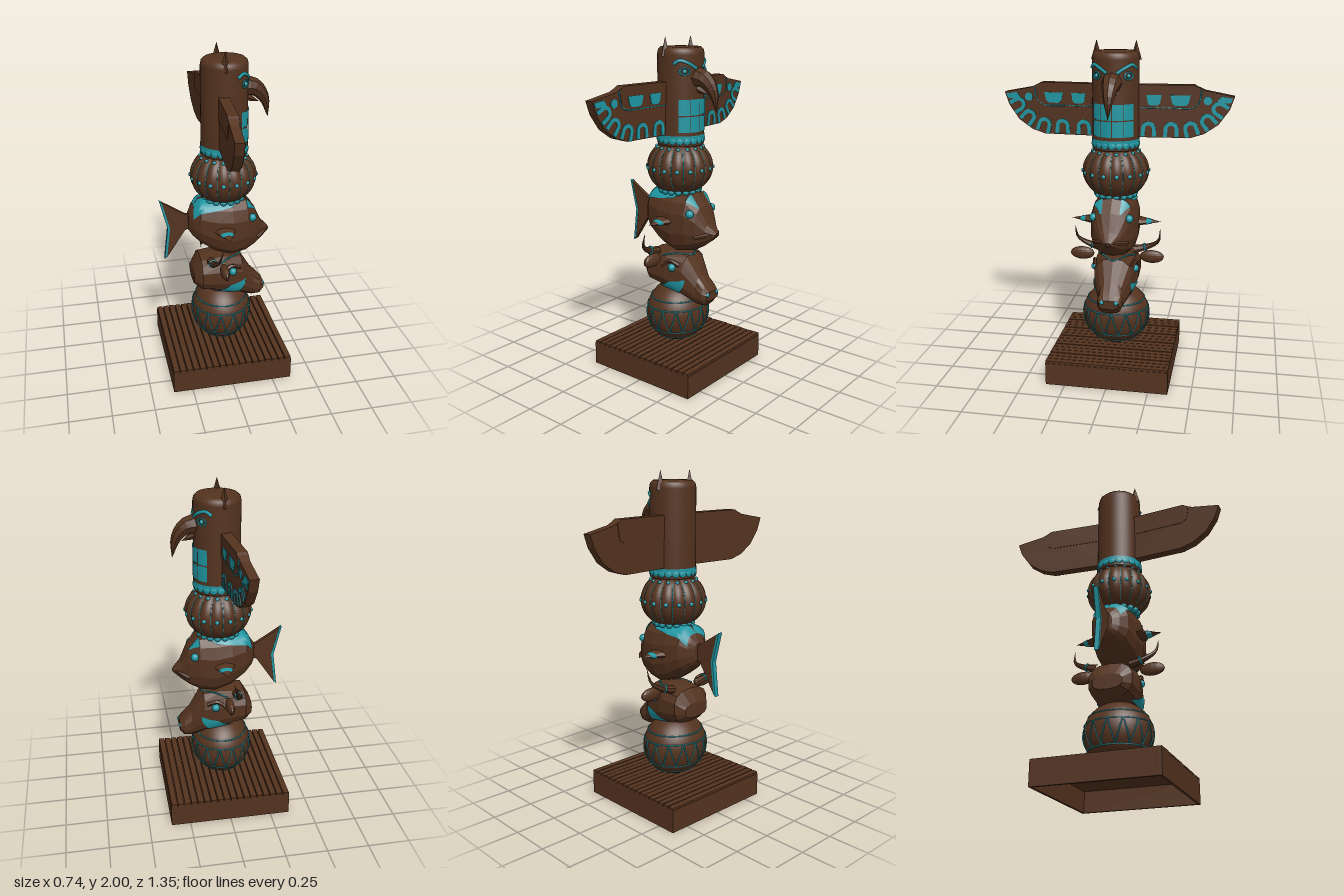
import * as THREE from 'three';
import { ParametricGeometry } from 'three/addons/geometries/ParametricGeometry.js';

const V = (x, y, z) => new THREE.Vector3(x, y, z);
const wood = new THREE.MeshStandardMaterial({ color: 0x54331f });
const carved = new THREE.MeshStandardMaterial({ color: 0x54331f, flatShading: true });
const paint = new THREE.MeshStandardMaterial({ color: 0x1f97a3, side: THREE.DoubleSide });

function add(parent, name, geo, mat, pos = [0, 0, 0], rot = [0, 0, 0], scale = [1, 1, 1]) {
  const m = new THREE.Mesh(geo, mat);
  m.name = name;
  m.position.set(...pos);
  m.rotation.set(...rot);
  m.scale.set(...scale);
  parent.add(m);
  return m;
}

// Runs a builder for the +z side and its mirror image
function bothSides(parent, name, build) {
  for (const s of [1, -1]) {
    const g = new THREE.Group();
    g.name = name;
    g.scale.z = s;
    build(g);
    parent.add(g);
  }
}

// Point on a body made of [x, bottom, top, halfWidth] sections; a = 0 is the top, a = PI/2 the side
function bodyPoint(sections, s, a, off, out) {
  const i = Math.min(Math.floor(s), sections.length - 2), f = s - i;
  const [x, y0, y1, w] = sections[i].map((v, k) => v + (sections[i + 1][k] - v) * f);
  const pw = (v) => Math.sign(v) * Math.abs(v) ** 0.75;
  return out.set(x, (y0 + y1) / 2 + pw(Math.cos(a)) * ((y1 - y0) / 2 + off), pw(Math.sin(a)) * (w + off));
}
const body = (sections, sides) => new ParametricGeometry(
  (u, v, t) => bodyPoint(sections, v * (sections.length - 1), u * Math.PI * 2, 0, t), sides, sections.length - 1);

// Painted patch lying on a body, from four [s, a] corners
const patch = (sections, c) => new ParametricGeometry((u, v, t) => {
  const mix = (k) => (c[0][k] * (1 - u) + c[1][k] * u) * (1 - v) + (c[3][k] * (1 - u) + c[2][k] * u) * v;
  bodyPoint(sections, mix(0), mix(1), 0.005, t);
}, 10, 10);

const tube = (pts, r, seg = 16, sides = 5, closed = false) =>
  new THREE.TubeGeometry(new THREE.CatmullRomCurve3(pts, closed), seg, r, sides, closed);

// Tube that narrows to a point
function taper(pts, r, sides, power = 1) {
  const seg = 10, curve = new THREE.CatmullRomCurve3(pts);
  const geo = new THREE.TubeGeometry(curve, seg, r, sides);
  const p = geo.attributes.position, q = V(0, 0, 0);
  for (let i = 0; i < p.count; i++) {
    const t = Math.floor(i / (sides + 1)) / seg;
    q.fromBufferAttribute(p, i).lerp(curve.getPointAt(t), t ** power);
    p.setXYZ(i, q.x, q.y, q.z);
  }
  geo.computeVertexNormals();
  return geo;
}

const poly = (pts) => new THREE.Shape(pts.map(([x, y]) => new THREE.Vector2(x, y)));
const slab = (shape, depth) => new THREE.ExtrudeGeometry(shape, { depth, bevelEnabled: false, curveSegments: 10 });
const ball = (r) => new THREE.SphereGeometry(r, 14, 10);

// Hollow plinth with a plank top
function plinth(g) {
  for (const s of [1, -1]) {
    add(g, 'plinthWall', new THREE.BoxGeometry(0.73, 0.138, 0.015), wood, [0, 0.069, s * 0.3575]);
    add(g, 'plinthWall', new THREE.BoxGeometry(0.015, 0.138, 0.7), wood, [s * 0.3575, 0.069, 0]);
  }
  add(g, 'plinthDeck', new THREE.BoxGeometry(0.72, 0.01, 0.72), wood, [0, 0.133, 0]);
  const n = 18, w = 0.73 / n;
  for (let i = 0; i < n; i++)
    add(g, 'plank', new THREE.BoxGeometry(w - 0.006, 0.014, 0.73), wood, [-0.365 + w * (i + 0.5), 0.143 + (i % 3) * 0.001, 0]);
}

// Painted ball with rings and a zigzag
function paintedBall(g) {
  const [rx, ry, rz, cy] = [0.183, 0.192, 0.204, 0.345];
  add(g, 'lowerBall', new THREE.SphereGeometry(1, 40, 28), wood, [0, cy, 0], [0, 0, 0], [rx, ry, rz]);
  const on = (y, t) => {
    const k = Math.sqrt(1 - ((y - cy) / ry) ** 2);
    return V(rx * k * Math.cos(t), y, rz * k * Math.sin(t));
  };
  for (const y of [0.445, 0.395, 0.25, 0.2])
    add(g, 'ballRing', tube(Array.from({ length: 32 }, (_, i) => on(y, i * Math.PI / 16)), 0.004, 64, 5, true), paint);
  const steps = 14 * 8;
  const zig = Array.from({ length: steps }, (_, i) =>
    on(0.252 + 0.142 * Math.abs((i % 8) / 4 - 1), i / steps * Math.PI * 2));
  add(g, 'ballZigzag', tube(zig, 0.004, 336, 4, true), paint);
}

// Horned head
function bull(g) {
  const S = [[-0.18, 0.6, 0.6, 0], [-0.18, 0.56, 0.65, 0.09], [-0.135, 0.52, 0.73, 0.135], [0, 0.49, 0.75, 0.14],
    [0.115, 0.455, 0.73, 0.115], [0.19, 0.425, 0.605, 0.075], [0.235, 0.43, 0.555, 0.075], [0.262, 0.465, 0.52, 0.06], [0.262, 0.49, 0.49, 0]];
  add(g, 'bullHead', body(S, 14), carved);
  const brow = [[2.8, 0.85], [3.4, 0.5], [4.1, 0], [3.4, -0.5], [2.8, -0.85]];
  add(g, 'foreheadLine', tube(brow.map(([s, a]) => bodyPoint(S, s, a, 0.004, V(0, 0, 0))), 0.005), paint);
  bothSides(g, 'bullSide', (h) => {
    add(h, 'horn', taper([V(-0.08, 0.73, 0.1), V(-0.08, 0.755, 0.19), V(-0.06, 0.8, 0.25), V(-0.035, 0.885, 0.262)], 0.027, 7), carved);
    add(h, 'hornBand', new THREE.TorusGeometry(0.021, 0.006, 5, 10), paint, [-0.081, 0.748, 0.165], [-0.3, 0, 0]);
    add(h, 'bullEar', ball(1), carved, [-0.02, 0.71, 0.215], [0, 0, 0], [0.025, 0.04, 0.075]);
    add(h, 'bullEye', ball(0.024), paint, [0.05, 0.655, 0.122]);
    add(h, 'bullBrow', tube([V(-0.01, 0.66, 0.136), V(0.04, 0.695, 0.126), V(0.1, 0.675, 0.113)], 0.012), carved);
    add(h, 'cheekPatch', patch(S, [[2.4, 2.5], [3.3, 1.8], [4.3, 1.5], [3.8, 2.25]]), paint);
    add(h, 'nostril', ball(0.014), paint, [0.256, 0.505, 0.042]);
  });
}

// Fish with a forked tail
function fish(g) {
  const S = [[-0.2, 0.96, 0.96, 0], [-0.2, 0.91, 1.02, 0.035], [-0.18, 0.88, 1.05, 0.075], [-0.14, 0.84, 1.105, 0.115],
    [-0.05, 0.775, 1.115, 0.14], [0.05, 0.74, 1.115, 0.145], [0.14, 0.757, 1.11, 0.13], [0.2, 0.79, 1.035, 0.1],
    [0.245, 0.825, 0.935, 0.06], [0.292, 0.865, 0.885, 0.02], [0.292, 0.875, 0.875, 0]];
  add(g, 'fishBody', body(S, 14), carved);
  add(g, 'tailFin', slab(poly([[-0.17, 1.0], [-0.22, 1.015], [-0.36, 1.105], [-0.313, 0.93], [-0.336, 0.735], [-0.22, 0.91], [-0.17, 0.93]]), 0.024), carved, [0, 0, -0.012]);
  add(g, 'tailEdge', slab(poly([[-0.355, 1.1], [-0.37, 1.112], [-0.325, 0.93], [-0.348, 0.728], [-0.333, 0.745], [-0.31, 0.93]]), 0.028), paint, [0, 0, -0.014]);
  bothSides(g, 'fishSide', (h) => {
    add(h, 'backPatch', patch(S, [[2.3, 0], [5.9, 0.1], [5, 0.75], [2, 1.2]]), paint);
    add(h, 'browPatch', patch(S, [[6, 0.3], [6, 0.85], [7, 0.5], [7, 0.4]]), paint);
    add(h, 'fishEye', ball(0.024), paint, [0.17, 1.0, 0.105]);
    add(h, 'sideFin', new THREE.ConeGeometry(0.08, 0.17, 8), carved, [0, 0.94, 0.185], [Math.PI / 2, 0, 0], [1, 1, 0.4]);
    add(h, 'finBand', new THREE.CylinderGeometry(0.029, 0.043, 0.03, 8, 1, true), paint, [0.0, 0.94, 0.2], [Math.PI / 2, 0, 0], [1, 1, 0.42]);
    add(h, 'lip', tube([V(0.288, 0.875, 0), V(0.25, 0.875, 0.056), V(0.2, 0.86, 0.1)], 0.012), carved);
  });
}

// Ribbed ball with grooves and painted dots
function ribbedBall(g) {
  const ribs = 16, cx = 0.015, cy = 1.25, R = 0.196, H = 0.168;
  const geo = new THREE.SphereGeometry(1, 128, 24), p = geo.attributes.position;
  for (let i = 0; i < p.count; i++) {
    const k = 0.94 + 0.06 * Math.abs(Math.sin(Math.atan2(p.getZ(i), p.getX(i)) * ribs / 2));
    p.setXYZ(i, p.getX(i) * k * R, p.getY(i) * H, p.getZ(i) * k * R);
  }
  geo.computeVertexNormals();
  add(g, 'ribbedBall', geo, wood, [cx, cy, 0]);
  const on = (lat, t, k) => V(cx + R * k * Math.cos(lat) * Math.cos(t), cy + H * Math.sin(lat), R * k * Math.cos(lat) * Math.sin(t));
  for (let i = 0; i < ribs; i++) {
    const t = i / ribs * Math.PI * 2, mid = t + Math.PI / ribs;
    add(g, 'groove', tube([-1.1, -0.55, 0, 0.55, 1.1].map((l) => on(l, t, 0.94)), 0.003, 16, 4), paint);
    for (const [lat, r] of [[0, 0.013], [0.78, 0.011], [-0.95, 0.02]])
      add(g, 'dot', ball(r), paint, on(lat, mid, 0.975).toArray());
  }
}

// Bird pillar: face, ears, beak, chest panels
function bird(g) {
  const cx = 0.02, R = 0.135;
  const prof = [[0, 1.385], [0.13, 1.385], [R, 1.39], [R, 1.9], [0.13, 1.925], [0.115, 1.94], [0, 1.945]];
  add(g, 'pillar', new THREE.LatheGeometry(prof.map(([x, y]) => new THREE.Vector2(x, y)), 40), wood, [cx, 0, 0]);
  const on = (t, y, r = R) => V(cx + r * Math.cos(t), y, r * Math.sin(t));
  add(g, 'collar', new THREE.CylinderGeometry(R + 0.003, R + 0.003, 0.03, 40, 1, true), paint, [cx, 1.432, 0]);
  for (let i = 0; i < 20; i++) {
    const t = i * Math.PI / 10;
    add(g, 'scallop', ball(1), paint, on(t, 1.415).toArray(), [0, -t, 0], [0.006, 0.018, 0.021]);
  }
  for (let c = 0; c < 4; c++) for (let r = 0; r < 2; r++)
    add(g, 'chestPanel', new THREE.CylinderGeometry(R + 0.004, R + 0.004, 0.09, 6, 1, true, Math.PI / 2 + (c - 2) * 0.5 + 0.015, 0.47), paint, [cx, 1.512 + r * 0.097, 0]);
  add(g, 'beak', taper([V(0.1, 1.775, 0), V(0.19, 1.765, 0), V(0.25, 1.7, 0), V(0.276, 1.583, 0)], 0.064, 8, 1.3), carved);
  add(g, 'lowerBeak', new THREE.ConeGeometry(0.035, 0.1, 6), carved, [0.175, 1.7, 0], [0, 0, -2.0]);
  bothSides(g, 'birdSide', (h) => {
    add(h, 'birdEar', new THREE.ConeGeometry(0.032, 0.11, 4), carved, [0, 1.945, 0.114]);
    const t = 0.74, e = on(t, 1.81).toArray();
    add(h, 'eyeRing', new THREE.TorusGeometry(0.026, 0.005, 6, 18), paint, e, [0, Math.PI / 2 - t, 0], [1.1, 0.8, 1]);
    add(h, 'birdEye', ball(0.013), paint, e);
    add(h, 'birdBrow', tube([on(1.2, 1.85), on(0.95, 1.87), on(0.6, 1.857), on(0.2, 1.825)], 0.01), paint);
  });
}

// Swept wing with painted feathers on its front
function wing(h) {
  const w = new THREE.Group();
  w.name = 'wing';
  w.position.x = 0.025;
  w.rotation.y = -Math.PI / 2 - 0.07;
  h.add(w);
  add(w, 'wingBoard', slab(poly([[0.07, 1.45], [0.43, 1.45], [0.51, 1.475], [0.59, 1.53], [0.65, 1.615], [0.676, 1.69],
    [0.51, 1.722], [0.45, 1.75], [0.07, 1.75]]), 0.052), carved);
  add(w, 'wingCovert', slab(poly([[0.07, 1.625], [0.44, 1.625], [0.47, 1.645], [0.485, 1.73], [0.45, 1.752], [0.07, 1.752]]), 0.06), carved, [0, 0, -0.005]);
  add(w, 'covertLine', tube([V(0.1, 1.622, -0.002), V(0.3, 1.622, -0.002), V(0.44, 1.624, -0.002), V(0.475, 1.65, -0.002), V(0.489, 1.73, -0.002)], 0.004), paint);
  const arch = new THREE.Shape();
  arch.moveTo(0.045, 0).lineTo(0.042, 0.045).absarc(0, 0.045, 0.042, 0, Math.PI).lineTo(-0.045, 0)
    .lineTo(-0.022, 0).lineTo(-0.02, 0.045).absarc(0, 0.045, 0.02, Math.PI, 0, true).lineTo(0.022, 0);
  for (const [x, y, a] of [[0.19, 1.455, 0], [0.32, 1.455, 0], [0.445, 1.462, 0.3], [0.555, 1.515, 0.7], [0.628, 1.597, 1.05]])
    add(w, 'feather', slab(arch, 0.006), paint, [x, y, -0.004], [0, 0, a]);
  const drop = new THREE.Shape();
  drop.moveTo(-0.058, 0.03).lineTo(-0.05, 0).absarc(-0.02, 0, 0.03, Math.PI, Math.PI * 1.5)
    .absarc(0.02, 0, 0.03, Math.PI * 1.5, Math.PI * 2).lineTo(0.058, 0.03);
  for (const [x, s] of [[0.37, 1], [0.22, 0.75]])
    add(w, 'covertMark', slab(drop, 0.005), paint, [x, 1.665, -0.008], [0, 0, 0], [s, 1, 1]);
  add(w, 'wingDot', slab(new THREE.Shape().absarc(0, 0, 0.024, 0, Math.PI * 2), 0.006), paint, [0.525, 1.665, -0.004]);
  add(w, 'tipMark', slab(poly([[0.58, 1.665], [0.6, 1.69], [0.665, 1.68], [0.655, 1.655], [0.6, 1.65]]), 0.006), paint, [0, 0, -0.004]);
}

export function createModel() {
  const model = new THREE.Group();
  model.name = 'totemPole';
  for (const [name, build] of Object.entries({ plinth, paintedBall, bull, fish, ribbedBall, bird })) {
    const g = new THREE.Group();
    g.name = name;
    build(g);
    model.add(g);
  }
  bothSides(model, 'wingSide', wing);
  return model;
}
